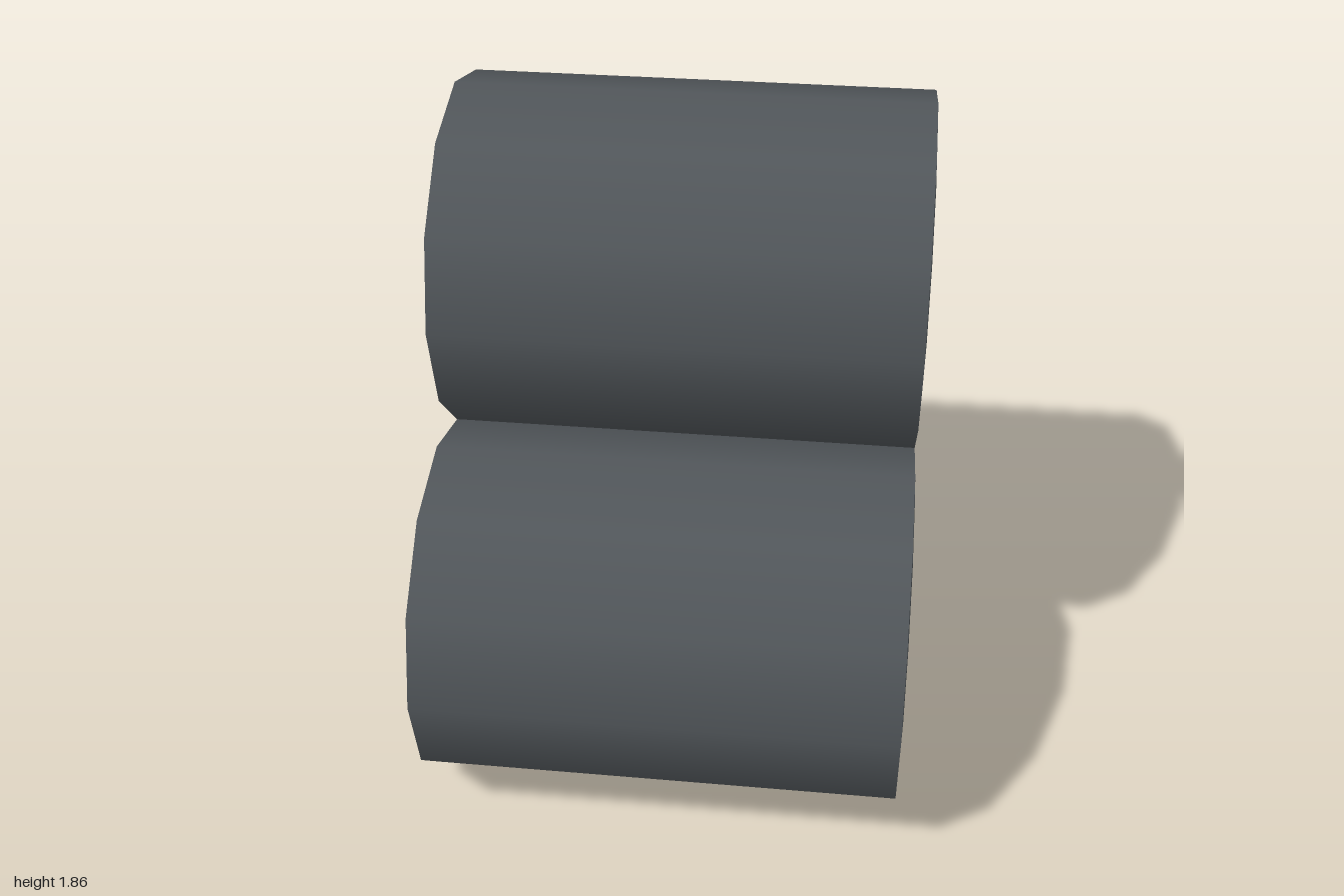
import * as THREE from 'three';
import { mergeGeometries } from 'three/addons/utils/BufferGeometryUtils.js';

const OUTER = 0.5, INNER = 0.4, SIDES = 12;
const HALF_OUTER = 0.65, HALF_INNER = 0.655; // rims stand out slightly at the bore

// Hollow pipe along x: each side of the wall's section is turned on its own, so the rims stay sharp
function pipeGeometry() {
  const section = [
    [OUTER, -HALF_OUTER],
    [OUTER, HALF_OUTER],
    [INNER, HALF_INNER],
    [INNER, -HALF_INNER],
  ].map(([r, y]) => new THREE.Vector2(r, y));
  const walls = section.map((p, i) => new THREE.LatheGeometry([p, section[(i + 1) % 4]], SIDES));
  const pipe = mergeGeometries(walls).rotateZ(Math.PI / 2);
  pipe.normalizeNormals();
  return pipe;
}

export function createModel() {
  const group = new THREE.Group();
  group.name = 'pipeStack';
  const material = new THREE.MeshStandardMaterial({ color: 0x51565a });
  material.name = 'dark grey';
  const geometry = pipeGeometry();

  // Two pipes side by side with a third resting on top
  const pipes = [
    ['frontPipe', 0.5, 0.5],
    ['backPipe', 0.5, -0.5],
    ['topPipe', 1.36, 0.008],
  ];
  for (const [name, y, z] of pipes) {
    const pipe = new THREE.Mesh(geometry, material);
    pipe.name = name;
    pipe.position.set(0, y, z);
    group.add(pipe);
  }
  return group;
}
